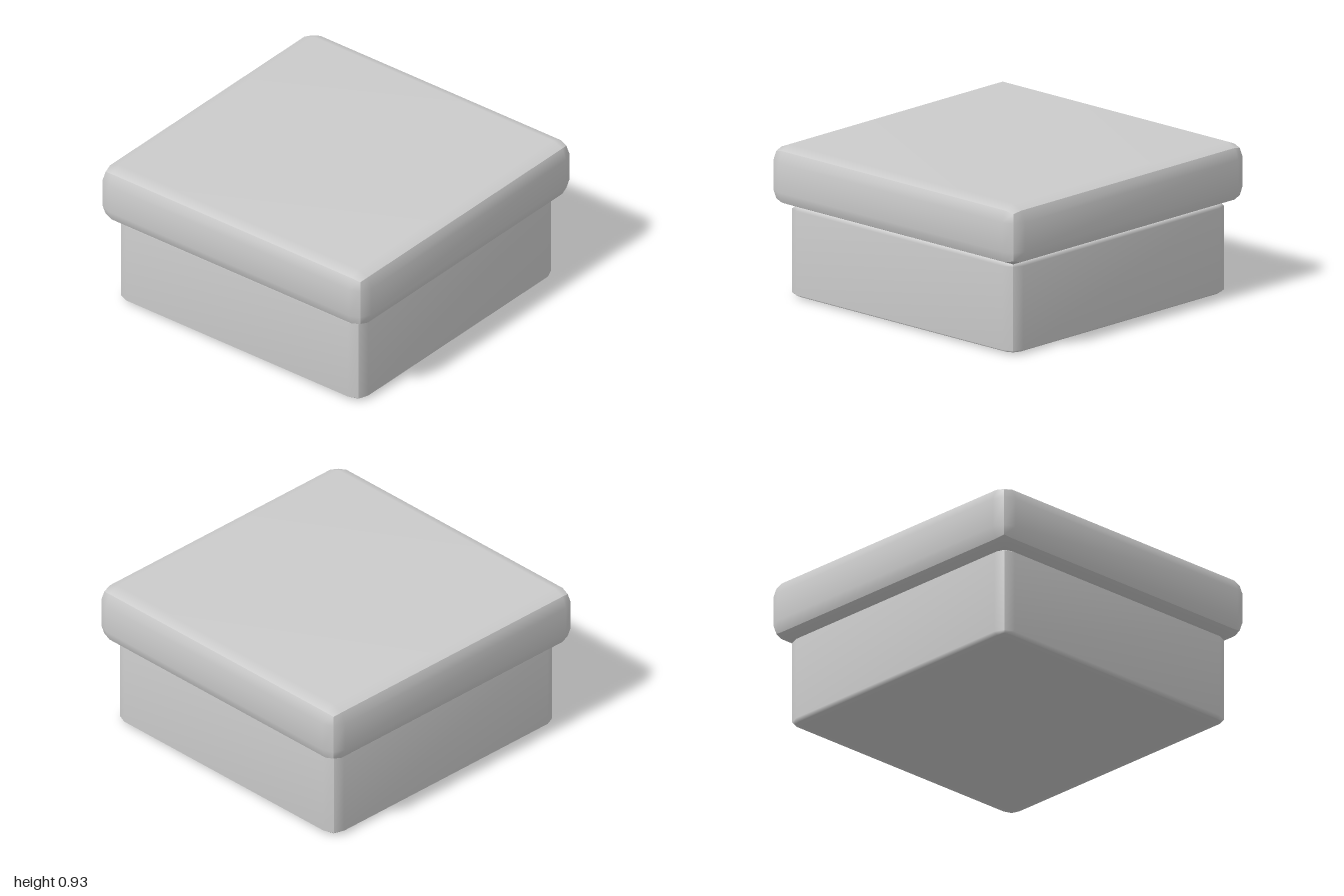
import * as THREE from 'three';

const material = new THREE.MeshStandardMaterial({ color: 0xcccccc });

// Box between two heights whose edges are cut by a two-step round.
// The round may be flatter in height (ry) than in plan (r).
function roundedBlock(name, half, y0, y1, r, ry) {
  const geometry = new THREE.BoxGeometry(1, 1, 1, 3, 3, 3);
  const size = new THREE.Vector3(half, (y1 - y0) / 2, half);
  const radius = new THREE.Vector3(r, ry, r);
  const pos = geometry.attributes.position;
  const p = new THREE.Vector3(), n = new THREE.Vector3();
  for (let i = 0; i < pos.count; i++) {
    p.fromBufferAttribute(pos, i);
    // outermost grid lines lean outward, inner ones face straight out
    n.set(...p.toArray().map(v => (Math.abs(v) > 0.4 ? Math.sign(v) : 0))).normalize();
    const sign = new THREE.Vector3(...p.toArray().map(Math.sign));
    p.copy(size).sub(radius).multiply(sign).add(n.multiply(radius));
    pos.setXYZ(i, p.x, p.y, p.z);
  }
  geometry.computeVertexNormals(); // each of the six sides is smoothed on its own
  const mesh = new THREE.Mesh(geometry, material);
  mesh.name = name;
  mesh.position.y = (y0 + y1) / 2;
  return mesh;
}

export function createModel() {
  const group = new THREE.Group();
  group.name = 'liddedBox';
  group.add(roundedBlock('base', 0.92, 0, 0.555, 0.085, 0.022));
  group.add(roundedBlock('lid', 1, 0.555, 0.925, 0.095, 0.095));
  return group;
}
